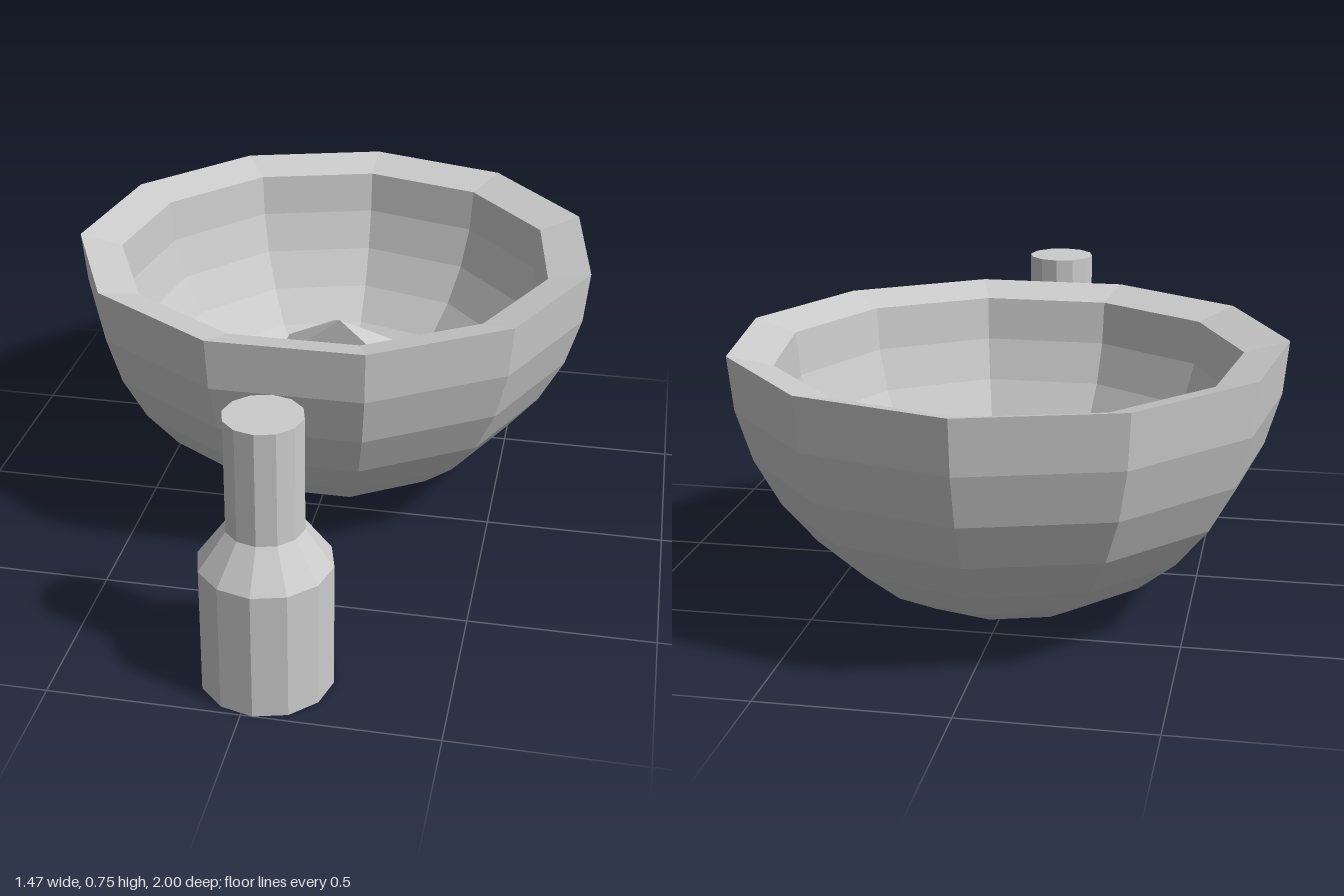
import * as THREE from 'three';
import { ConvexGeometry } from 'three/addons/geometries/ConvexGeometry.js';

const material = new THREE.MeshStandardMaterial({ color: 0xcccccc, flatShading: true });

function part(name, geometry, x = 0, z = 0) {
  const mesh = new THREE.Mesh(geometry, material);
  mesh.name = name;
  mesh.position.set(x, 0, z);
  return mesh;
}

// Turned solid from [radius, height] pairs, listed from the bottom up
const turned = (profile, sides, start = 0) =>
  new THREE.LatheGeometry(profile.map(([r, y]) => new THREE.Vector2(r, y)), sides, start);

// Convex block from [x, y, z] corners
const block = (corners) => new ConvexGeometry(corners.map((c) => new THREE.Vector3(...c)));

// Four corners of a rectangle; front and back heights may differ
const rect = (w, zBack, zFront, yBack, yFront = yBack) => [
  [-w, yBack, zBack], [w, yBack, zBack], [-w, yFront, zFront], [w, yFront, zFront],
];

export function createModel() {
  const model = new THREE.Group();
  model.name = 'bowlAndBottle';

  // Thick hemispherical bowl with eleven sides; the rim slopes down inwards
  const outer = 0.745, inner = 0.625, innerRim = 0.713, rings = 8;
  const profile = [];
  for (let i = 0; i <= rings; i++) {
    const a = (i / rings) * Math.PI / 2;
    profile.push([outer * Math.sin(a), outer * (1 - Math.cos(a))]);
  }
  for (let i = rings; i >= 0; i--) {
    const a = (i / rings) * Math.PI / 2;
    profile.push([inner * Math.sin(a), innerRim - inner * Math.cos(a)]);
  }
  model.add(part('bowl', turned(profile, 11, Math.PI), 0, -0.255));

  // Faceted lump in the bowl: a peaked back half and a lower, sloping front half
  const lump = new THREE.Group();
  lump.name = 'lump';
  lump.add(part('lumpBack', block([
    ...rect(0.183, -0.447, -0.26, 0.13),
    ...rect(0.183, -0.447, -0.26, 0.33),
    [0.01, 0.485, -0.26], [-0.03, 0.42, -0.39],
  ])));
  lump.add(part('lumpFront', block([
    ...rect(0.183, -0.26, -0.075, 0.13),
    ...rect(0.183, -0.26, -0.075, 0.33, 0.25),
  ])));
  model.add(lump);

  // Bottle with a sloping shoulder and a narrow neck
  model.add(part('bottle', turned([
    [0, 0], [0.172, 0], [0.172, 0.35], [0.1, 0.45], [0.1, 0.755], [0, 0.755],
  ], 12), 0.03, 0.828));

  return model;
}
